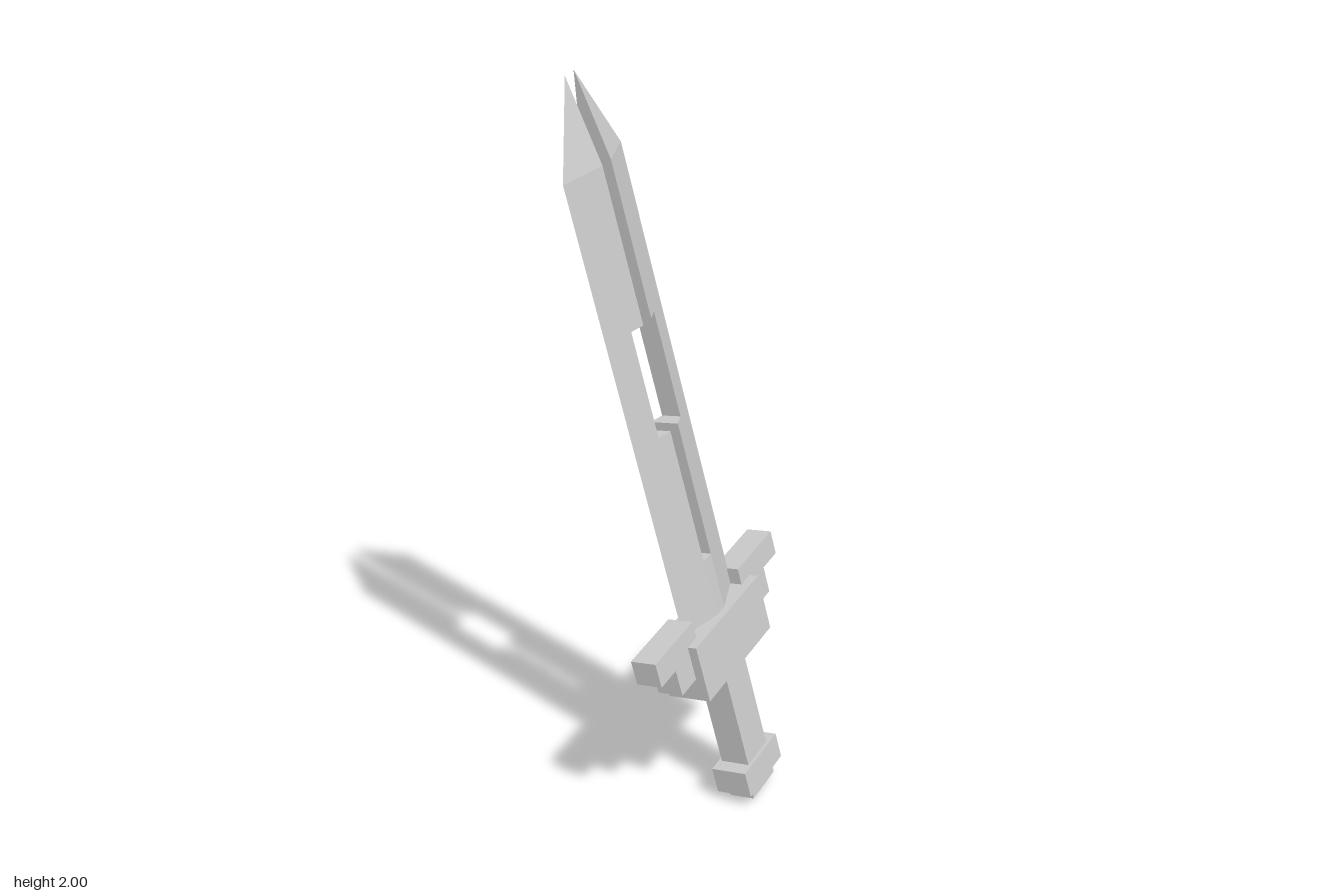
import * as THREE from 'three';
import { ConvexGeometry } from 'three/addons/geometries/ConvexGeometry.js';

const steel = new THREE.MeshStandardMaterial({ color: 0xcccccc });
steel.name = 'steel grey';

const EDGE = 0.13;   // half width of the blade
const SLOT = 0.019;  // half width of the central slot
const THICK = 0.04;  // half thickness beside the slot

function add(parent, name, geometry) {
  const mesh = new THREE.Mesh(geometry, steel);
  mesh.name = name;
  parent.add(mesh);
}

// Box given by its ranges across (x) and along (y), and its half depth
function block(parent, name, x0, x1, y0, y1, halfDepth) {
  const g = new THREE.BoxGeometry(Math.abs(x1 - x0), y1 - y0, halfDepth * 2);
  g.translate((x0 + x1) / 2, (y0 + y1) / 2, 0);
  add(parent, name, g);
}

// Cross-section (x, z) extruded along y
function prism(parent, name, points, y0, y1) {
  const shape = new THREE.Shape(points.map(([x, z]) => new THREE.Vector2(x, z)));
  const g = new THREE.ExtrudeGeometry(shape, { depth: y1 - y0, bevelEnabled: false });
  g.rotateX(-Math.PI / 2);
  g.translate(0, y0, 0);
  add(parent, name, g);
}

// Wedge section of one blade half, cut off at the inner distance
function wedge(side, inner) {
  const t = THICK * (EDGE - inner) / (EDGE - SLOT);
  return [[side * EDGE, 0], [side * inner, t], [side * inner, -t]];
}

export function createModel() {
  const model = new THREE.Group();
  model.name = 'sword';
  const sword = new THREE.Group();
  sword.name = 'tiltedSword';
  model.add(sword);

  // Handle
  block(sword, 'endCap', -0.06, 0.06, 0, 0.034, 0.036);
  block(sword, 'pommel', -0.09, 0.09, 0.033, 0.108, 0.051);
  block(sword, 'grip', -0.052, 0.052, 0.1, 0.41, 0.041);
  block(sword, 'guard', -0.17, 0.17, 0.404, 0.568, 0.061);

  // Joined foot of the blade
  prism(sword, 'bladeRoot', [
    [EDGE, 0], [SLOT, THICK], [-SLOT, THICK],
    [-EDGE, 0], [-SLOT, -THICK], [SLOT, -THICK],
  ], 0.55, 0.73);

  for (const side of [1, -1]) {
    const label = side > 0 ? 'left' : 'right';

    // Stepped wings of the guard
    block(sword, label + 'Wing', side * 0.124, side * 0.314, 0.546, 0.615, 0.036);
    block(sword, label + 'WingStep', side * 0.16, side * 0.242, 0.47, 0.55, 0.036);

    // Blade half: narrow slot, wide window, narrow slot, point
    prism(sword, label + 'LowerBlade', wedge(side, SLOT), 0.73, 1.11);
    prism(sword, label + 'WindowBlade', wedge(side, 0.055), 1.11, 1.4);
    prism(sword, label + 'UpperBlade', wedge(side, SLOT), 1.4, 1.81);
    const base = wedge(side, SLOT).map(([x, z]) => new THREE.Vector3(x, 1.81, z));
    add(sword, label + 'Point', new ConvexGeometry([...base, new THREE.Vector3(side * SLOT, 2.03, 0)]));
  }

  // Lean and turn of the whole sword
  const up = new THREE.Vector3(-0.189, 0.976, -0.113).normalize();
  const across = new THREE.Vector3(0.926, 0.137, -0.352);
  const front = across.clone().cross(up).normalize();
  across.crossVectors(up, front);
  sword.quaternion.setFromRotationMatrix(new THREE.Matrix4().makeBasis(across, up, front));
  sword.position.set(0.13, 0.015, 0.084);

  return model;
}
